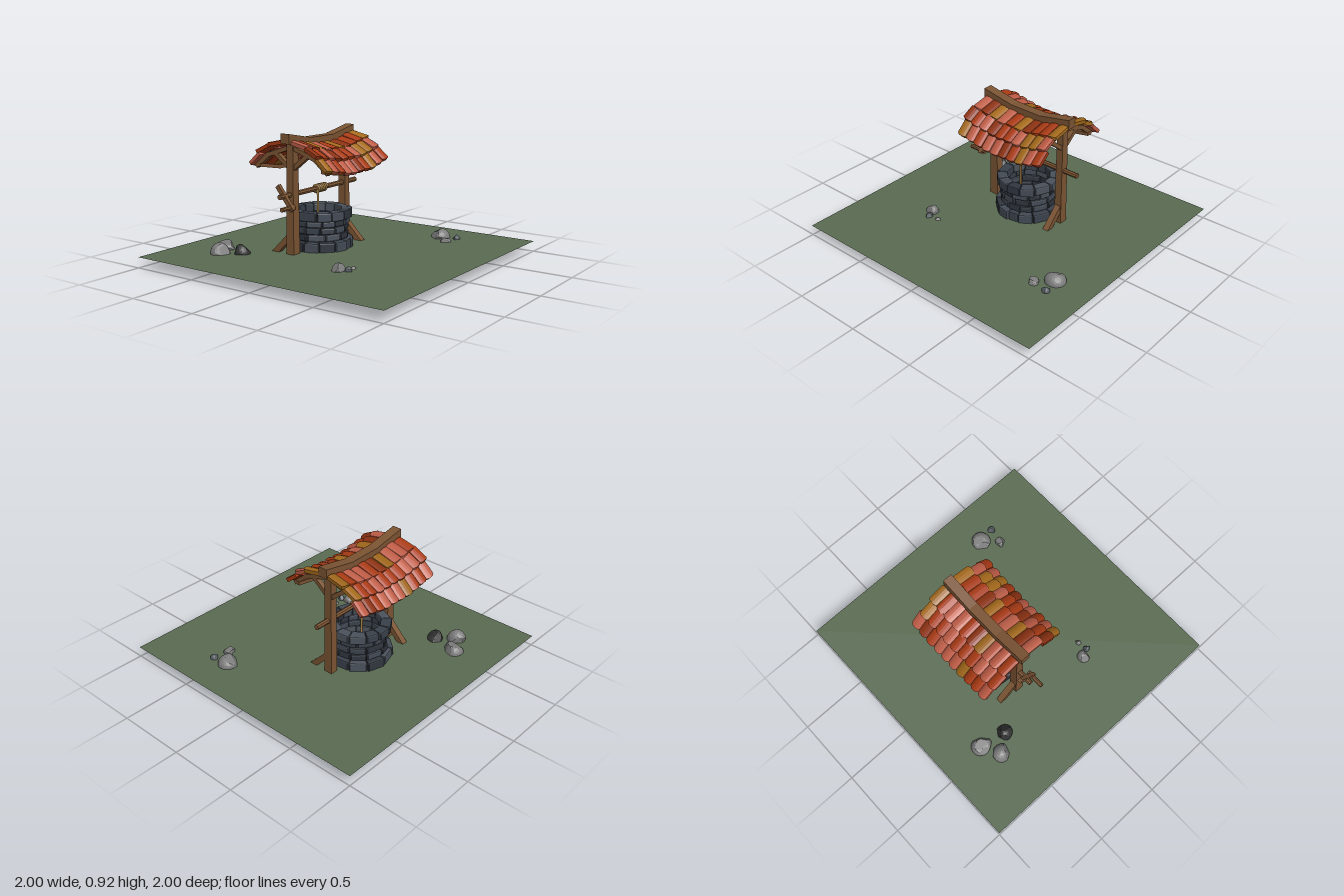
import * as THREE from 'three';
import { RoundedBoxGeometry } from 'three/addons/geometries/RoundedBoxGeometry.js';

const GROUND = 0.088, AXIS_Z = -0.2;
const WOOD = 0x7b5433, ROPE = 0xa88448;
const TILES = [0xa83a14, 0xbc5a44, 0x9c6418, 0xa83a14, 0x8c3212, 0xa56a1c, 0xc0604a];
const STONES = [0x3a414b, 0x434a55, 0x30363f, 0x4b525c];

function seeded(seed) {
  return () => {
    seed = (seed * 16807) % 2147483647;
    return seed / 2147483647;
  };
}

function warp(geo, rule) {
  const p = geo.attributes.position, v = new THREE.Vector3();
  for (let i = 0; i < p.count; i++) {
    rule(v.fromBufferAttribute(p, i));
    p.setXYZ(i, v.x, v.y, v.z);
  }
  geo.computeVertexNormals();
  return geo;
}

function add(parent, name, geo, color, flatShading = true) {
  const mesh = new THREE.Mesh(geo, new THREE.MeshStandardMaterial({ color, flatShading }));
  mesh.name = name;
  parent.add(mesh);
  return mesh;
}

// Straight timber between two points, optionally tapered at its end
function bar(parent, name, a, b, w, d, taper = 1) {
  const from = new THREE.Vector3(...a), dir = new THREE.Vector3(...b).sub(from);
  const geo = warp(new THREE.BoxGeometry(w, dir.length(), d), v => {
    if (v.y > 0) { v.x *= taper; v.z *= taper; }
  });
  const mesh = add(parent, name, geo, WOOD);
  mesh.position.copy(from).addScaledVector(dir, 0.5);
  mesh.quaternion.setFromUnitVectors(new THREE.Vector3(0, 1, 0), dir.normalize());
  return mesh;
}

// The roof line dips in the middle and rises towards both gables
const sag = x => 0.05 * Math.max(0, (Math.abs(x) - 0.12) / 0.26);

function group(parent, name) {
  const g = new THREE.Group();
  g.name = name;
  parent.add(g);
  return g;
}

function buildWell(root) {
  const well = group(root, 'well');
  const rand = seeded(41);
  // [bottom, top, inner radius, outer radius, stones]
  const courses = [
    [0.07, 0.155, 0.165, 0.235, 12],
    [0.155, 0.205, 0.16, 0.205, 11],
    [0.205, 0.255, 0.16, 0.203, 10],
    [0.255, 0.302, 0.16, 0.205, 12],
    [0.3, 0.367, 0.152, 0.225, 12],
  ];
  courses.forEach(([y0, y1, r0, r1, n], row) => {
    const widths = Array.from({ length: n }, () => 0.75 + rand() * 0.5);
    const unit = Math.PI * 2 / widths.reduce((a, b) => a + b);
    let angle = row * 0.37;
    for (const width of widths) {
      const span = width * unit, mid = angle + span / 2;
      const out = r1 + (rand() - 0.5) * 0.014, depth = out - r0;
      const h = y1 - y0 - 0.003 + (rand() - 0.5) * 0.004;
      const arc = span * out - 0.004;
      const geo = new RoundedBoxGeometry(arc, h, depth, 1, 0.009);
      warp(geo, v => {
        const a = mid + v.x / out, r = r0 + depth / 2 + v.z;
        v.set(Math.sin(a) * r, (y0 + y1) / 2 + v.y, AXIS_Z + Math.cos(a) * r);
      });
      add(well, 'wellStone', geo, STONES[Math.floor(rand() * STONES.length)]);
      angle += span;
    }
  });
  // Mortar behind the stones
  const profile = [[0.17, 0.08], [0.19, 0.08], [0.19, 0.35], [0.17, 0.35], [0.17, 0.08]]
    .map(p => new THREE.Vector2(...p));
  add(well, 'mortar', new THREE.LatheGeometry(profile, 24), 0x262b32).position.z = AXIS_Z;
}

function buildFrame(root) {
  const frame = group(root, 'frame');
  for (const [x, w, side] of [[-0.308, 0.068, -1], [0.292, 0.058, 1]]) {
    bar(frame, 'post', [x, 0.08, AXIS_Z], [x, 0.86, AXIS_Z], w, 0.064, 0.85);
    bar(frame, 'footBrace', [x, 0.075, AXIS_Z + side * 0.155], [x, 0.215, AXIS_Z + side * 0.015], 0.045, 0.042);
    // Rafters and struts under both roof slopes
    for (const s of [-1, 1]) {
      const at = (d, y) => [x, y, AXIS_Z + s * d];
      bar(frame, 'rafter', at(0, 0.835), at(0.2, 0.765), 0.04, 0.03);
      bar(frame, 'rafter', at(0.19, 0.775), at(0.31, 0.675), 0.04, 0.03);
      bar(frame, 'strut', at(0.015, 0.685), at(0.14, 0.785), 0.036, 0.03);
    }
  }
  // Ridge beam and eave purlins follow the dip
  const dip = (len, h, d, y, z) => warp(new THREE.BoxGeometry(len, h, d, 3, 1, 1).translate(-0.01, y, z),
    v => { v.y += sag(v.x); });
  add(frame, 'ridgeBeam', dip(0.755, 0.07, 0.07, 0.845, AXIS_Z), WOOD);
  for (const s of [-1, 1]) add(frame, 'purlin', dip(0.65, 0.026, 0.03, 0.648, AXIS_Z + s * 0.278), WOOD);
}

function buildRoof(root) {
  const roof = group(root, 'roof');
  const rand = seeded(977);
  // [distance from ridge, height, slope, length, sideways shift]
  const rows = [
    [0.108, 0.815, 0.24, 0.142, 0],
    [0.215, 0.765, 0.48, 0.122, -0.014],
    [0.294, 0.69, 0.72, 0.12, 0],
  ];
  const count = 10, pitch = 0.0735;
  for (const s of [-1, 1]) for (const [d, y, slope, len, shift] of rows) {
    for (let i = 0; i < count; i++) {
      const x = -0.333 + shift + i * pitch;
      const geo = new THREE.BoxGeometry(pitch - 0.002, 0.026, len + (rand() - 0.5) * 0.012, 4, 1, 2);
      // Arched across, with rounded lower corners
      warp(geo, v => {
        const u = v.x / pitch * 2;
        if (v.z * s > 0.01) v.z -= s * 0.012 * u ** 4;
        v.y += 0.004 - 0.01 * u * u;
      });
      geo.rotateZ((rand() - 0.5) * 0.12);
      geo.rotateX(s * (slope + (rand() - 0.5) * 0.1));
      geo.translate(x, y + (rand() - 0.5) * 0.008, AXIS_Z + s * d);
      warp(geo, v => { v.y += sag(v.x); });
      add(roof, 'roofTile', geo, TILES[Math.floor(rand() * TILES.length)]);
    }
  }
}

function buildWinch(root) {
  const winch = group(root, 'winch');
  const rod = (name, x0, x1, y, z, r) => {
    const geo = new THREE.CylinderGeometry(r, r, x1 - x0, 8).rotateZ(Math.PI / 2);
    add(winch, name, geo, WOOD).position.set((x0 + x1) / 2, y, z);
  };
  rod('shaft', -0.45, 0.43, 0.507, AXIS_Z, 0.019);
  rod('crankHandle', -0.5, -0.365, 0.435, -0.142, 0.016);
  bar(winch, 'crankArm', [-0.4, 0.415, -0.125], [-0.4, 0.575, -0.253], 0.028, 0.032);
  // Rope wound on the shaft, then hanging into the well
  const turns = 6, steps = turns * 10, path = [];
  for (let i = 0; i <= steps; i++) {
    const a = i / 10 * Math.PI * 2;
    path.push(new THREE.Vector3(0.06 - 0.115 * i / steps, 0.507 + Math.sin(a) * 0.024, AXIS_Z + Math.cos(a) * 0.024));
  }
  const coil = new THREE.CatmullRomCurve3(path);
  add(winch, 'ropeCoil', new THREE.TubeGeometry(coil, 120, 0.009, 6), ROPE, false);
  const hanging = new THREE.CylinderGeometry(0.009, 0.009, 0.4, 6);
  add(winch, 'hangingRope', hanging, ROPE, false).position.set(-0.055, 0.307, AXIS_Z + 0.024);
}

function buildRocks(root) {
  const rocks = group(root, 'rocks');
  const rand = seeded(303);
  const GREY = 0x7c7c7c, DARK = 0x333333, SLATE = 0x565c62;
  // [x, y, z, half width, half height, half depth, colour]
  const list = [
    [-0.6, 0.083, -0.615, 0.06, 0.077, 0.07, GREY], [-0.465, 0.085, -0.68, 0.066, 0.065, 0.072, GREY],
    [-0.505, 0.085, -0.5, 0.055, 0.064, 0.06, DARK], [-0.482, 0.088, 0.312, 0.048, 0.05, 0.042, GREY],
    [-0.453, 0.085, 0.373, 0.023, 0.034, 0.026, SLATE], [-0.375, 0.07, 0.358, 0.028, 0.032, 0.024, GREY],
    [0.71, 0.09, 0.383, 0.07, 0.06, 0.066, GREY], [0.608, 0.083, 0.485, 0.04, 0.042, 0.037, GREY],
    [0.728, 0.083, 0.507, 0.028, 0.034, 0.029, SLATE],
  ];
  for (const [x, y, z, w, h, d, color] of list) {
    // Chiselled by clipping a sphere with a few random planes
    const planes = Array.from({ length: 9 }, () => [
      new THREE.Vector3(rand() - 0.5, rand() - 0.5, rand() - 0.5).normalize(), 0.72 + rand() * 0.18]);
    const geo = warp(new THREE.IcosahedronGeometry(1.08, 3), v => {
      for (const [n, limit] of planes) {
        const over = v.dot(n) - limit;
        if (over > 0) v.addScaledVector(n, -over);
      }
      v.multiply(new THREE.Vector3(w, h, d));
    });
    add(rocks, 'rock', geo, color).position.set(x, y, z);
  }
}

export function createModel() {
  const root = new THREE.Group();
  root.name = 'coveredWell';
  const ground = add(root, 'ground', new THREE.PlaneGeometry(2, 2).rotateX(-Math.PI / 2), 0x5a6c52);
  ground.material.side = THREE.DoubleSide;
  ground.position.y = GROUND;
  buildWell(root);
  buildFrame(root);
  buildRoof(root);
  buildWinch(root);
  buildRocks(root);
  return root;
}
